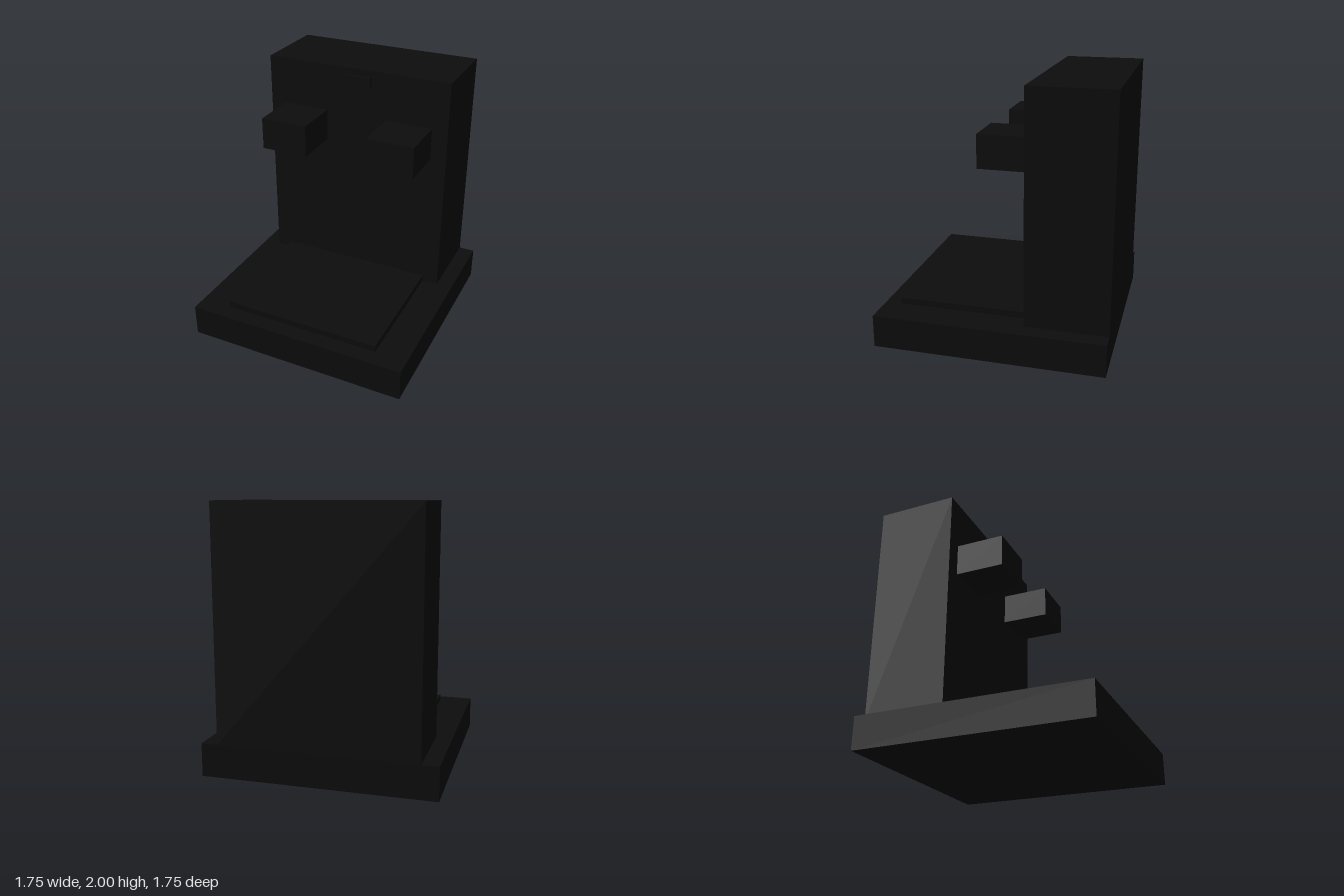
import * as THREE from 'three';

export function createModel() {
  const model = new THREE.Group();
  const black = new THREE.MeshStandardMaterial({ color: 0x0d0d0d });
  black.name = 'black';

  // Box given by its min and max corners
  function box(name, [x0, y0, z0], [x1, y1, z1]) {
    const mesh = new THREE.Mesh(new THREE.BoxGeometry(x1 - x0, y1 - y0, z1 - z0), black);
    mesh.position.set((x0 + x1) / 2, (y0 + y1) / 2, (z0 + z1) / 2);
    mesh.name = name;
    model.add(mesh);
  }

  // Square base with a raised tray in front of the upright body
  box('base', [-0.875, 0, -0.875], [0.875, 0.25, 0.875]);
  box('tray', [-0.625, 0.25, -0.25], [0.625, 0.3, 0.75]);
  box('body', [-0.75, 0.25, -0.875], [0.75, 2, -0.25]);

  // Pair of spouts and a small panel above them
  box('leftSpout', [0.25, 1.375, -0.25], [0.625, 1.625, 0.125]);
  box('rightSpout', [-0.625, 1.375, -0.25], [-0.25, 1.625, 0.125]);
  box('panel', [-0.125, 1.875, -0.25], [0.125, 1.95, -0.225]);

  return model;
}
